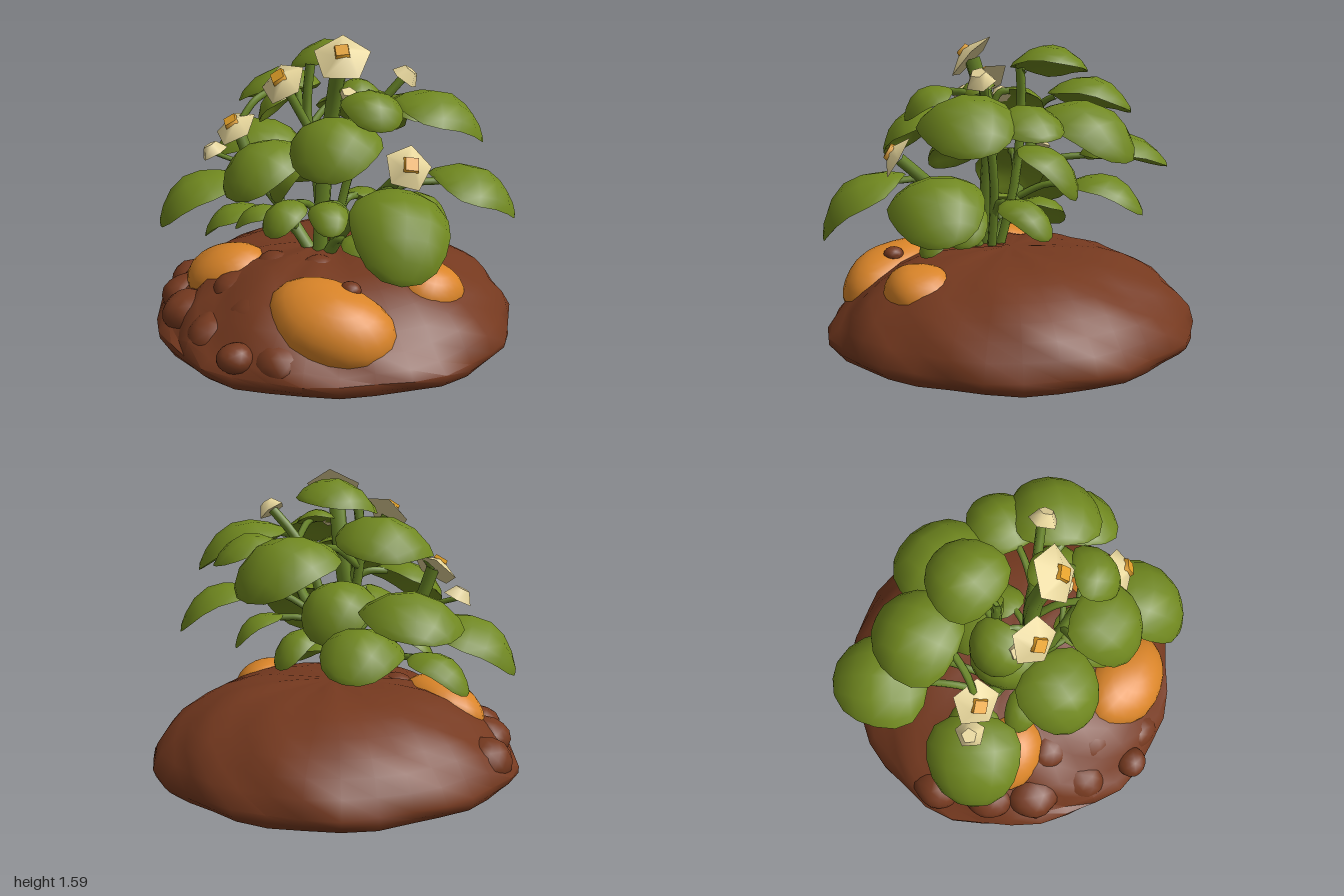
import * as THREE from 'three';
import { mergeVertices, toCreasedNormals } from 'three/addons/utils/BufferGeometryUtils.js';

const material = (name, color) => {
  const m = new THREE.MeshStandardMaterial({ color });
  m.name = name;
  return m;
};
const V = (x, y, z) => new THREE.Vector3(x, y, z);
const UP = V(0, 1, 0);

export function createModel() {
  const soil = material('soil brown', 0x75391f);
  const green = material('leaf green', 0x70881f);
  const stemGreen = material('stem green', 0x688526);
  const tuberSkin = material('tuber orange', 0xd98428);
  const cream = material('petal cream', 0xe8d79c);
  const yellow = material('flower centre yellow', 0xe3a028);

  const model = new THREE.Group();
  model.name = 'tuberPlant';
  const add = (name, geo, mat, parent = model) => {
    const mesh = new THREE.Mesh(geo, mat);
    mesh.name = name;
    parent.add(mesh);
    return mesh;
  };

  // Move every vertex by a rule, then rebuild the normals
  const reshape = (geo, rule, crease = 0.7) => {
    geo.deleteAttribute('normal');
    geo.deleteAttribute('uv');
    geo = mergeVertices(geo, 1e-4);
    const p = geo.attributes.position, v = V(0, 0, 0);
    for (let i = 0; i < p.count; i++) {
      rule(v.fromBufferAttribute(p, i));
      p.setXYZ(i, v.x, v.y, v.z);
    }
    return toCreasedNormals(geo, crease);
  };
  const tube = (name, points, radius, mat) =>
    add(name, new THREE.TubeGeometry(new THREE.CatmullRomCurve3(points), 8, radius, 6), mat);

  // Soil mound: an uneven lathe, fuller at the back, lower and rougher at the front
  const profile = [[0, 0], [0.6, 0], [0.955, 0], [0.985, 0.035], [0.99, 0.07], [0.95, 0.15],
    [0.89, 0.225], [0.82, 0.29], [0.72, 0.352], [0.61, 0.405], [0.5, 0.437], [0.35, 0.455],
    [0.2, 0.46], [0, 0.46]];
  const mound = new THREE.LatheGeometry(profile.map(([r, y]) => new THREE.Vector2(r, y)), 36);
  add('soilMound', reshape(mound, v => {
    const a = Math.atan2(v.x, v.z), front = Math.max(0, v.z);
    const wobble = Math.sin(5 * a + 1) + Math.sin(11 * a + v.y * 20);
    const k = 1 + 0.013 * wobble;
    if (v.y > 0.1) {
      v.y += 0.008 * wobble * (0.4 + front) + 0.018 * front * Math.sin(17 * a + v.y * 30)
        - 0.045 * THREE.MathUtils.smoothstep(v.z, 0, 0.4) * Math.sin(Math.PI * v.y / 0.48);
    }
    v.x *= k;
    v.z = v.z * k - 0.02;
  }, 0.9), soil);

  // Clods of soil, mostly sunk in the mound: x, y, z, radius
  const clods = [[0.14, 0.14, 0.91, 0.09], [-0.14, 0.12, 0.76, 0.16], [-0.42, 0.15, 0.67, 0.15],
    [-0.62, 0.16, 0.52, 0.14], [0.3, 0.1, 0.76, 0.14], [0.04, 0.22, 0.64, 0.16],
    [-0.2, 0.28, 0.54, 0.13], [-0.8, 0.13, 0.28, 0.15], [0.12, 0.4, 0.26, 0.09],
    [-0.12, 0.37, 0.33, 0.11], [0.46, 0.41, 0.43, 0.055]];
  clods.forEach(([x, y, z, r], i) => {
    const geo = reshape(new THREE.IcosahedronGeometry(r, 2), v => {
      v.multiplyScalar(1 + 0.07 * Math.sin(v.x * 24 + i) * Math.cos(v.z * 22 + i * 2));
      v.y = Math.max(v.y * 0.8, -y);
    });
    const clod = add('soilClod', geo, soil);
    clod.position.set(x, y, z);
    clod.rotation.y = i * 1.3;
  });

  // Tubers half buried in the mound: centre, radii, rotation
  const tubers = [
    [[0.42, 0.25, 0.53], [0.33, 0.19, 0.23], [0.35, 0.15, -0.34]],
    [[-0.4, 0.31, 0.42], [0.25, 0.15, 0.2], [0.3, 0.2, 0.2]],
    [[0.63, 0.32, -0.01], [0.17, 0.14, 0.2], [0, 0, -0.35]]];
  for (const [pos, radii, rot] of tubers) {
    const geo = reshape(new THREE.SphereGeometry(1, 20, 14), v => {
      v.multiplyScalar(1 + 0.03 * Math.sin(v.x * 4 + v.z * 3));
      v.set(v.x * radii[0], v.y * radii[1], v.z * radii[2]);
    });
    const tuber = add('tuber', geo, tuberSkin);
    tuber.position.set(...pos);
    tuber.rotation.set(...rot);
  }

  // Main stems
  const stems = [
    [V(0.03, 0.38, 0.14), V(0.04, 0.8, 0.12), V(0.06, 1.15, 0.08), V(0.15, 1.48, 0.12)],
    [V(0, 0.4, 0.14), V(-0.2, 0.65, 0.17), V(-0.37, 0.86, 0.22), V(-0.45, 1.09, 0.26)],
    [V(0.06, 0.4, 0.14), V(0.22, 0.63, 0.14), V(0.42, 0.82, 0.13), V(0.6, 0.98, 0.17)],
    [V(0.05, 0.95, 0.1), V(-0.03, 1.12, 0.16), V(-0.09, 1.34, 0.27)],
    [V(0.05, 0.4, 0.08), V(0.1, 0.8, 0.0), V(0.2, 1.15, -0.06), V(0.34, 1.38, -0.18)],
    [V(0, 0.4, 0.08), V(-0.08, 0.8, 0.03), V(-0.14, 1.2, 0.04), V(-0.12, 1.43, 0.03)]];
  const stemRadii = [0.045, 0.034, 0.032, 0.024, 0.026, 0.026];
  stems.forEach((s, i) => tube('mainStem', s, stemRadii[i], stemGreen));
  const nodes = stems.flatMap(s => new THREE.CatmullRomCurve3(s).getPoints(16));

  // A plump, arching leaf from base to tip, with a stalk from the nearest lower stem node
  const leaf = ([bx, by, bz, tx, ty, tz, width]) => {
    const base = V(bx, by, bz), along = V(tx, ty, tz).sub(base), length = along.length();
    const dir = along.clone().normalize();
    const up = V(bx + tx, 0, bz + tz).normalize().multiplyScalar(0.3).add(UP);
    const side = dir.clone().cross(up).normalize(), top = side.clone().cross(dir);
    const geo = reshape(new THREE.SphereGeometry(1, 12, 8), v => {
      const t = (v.y + 1) / 2, w = v.x * (1.1 - 0.2 * v.y + 0.2 * v.y * v.y);
      const lift = length * 0.2 * Math.sin(Math.PI * t) - 0.16 * width * w * w
        + v.z * width * (v.z > 0 ? 0.13 : 0.04);
      v.copy(base).addScaledVector(along, t)
        .addScaledVector(side, w * width / 2).addScaledVector(top, lift);
    }, 0.9);
    add('leaf', geo, green);

    let start = nodes[0], best = Infinity;
    for (const n of nodes) {
      const d = n.distanceTo(base);
      if (n.y < by - 0.1 && d < best) { best = d; start = n; }
    }
    const mid = start.clone().lerp(base, 0.55).addScaledVector(UP, 0.03);
    tube('leafStalk', [start, mid, base.clone().addScaledVector(along, 0.06)], 0.02, stemGreen);
  };

  // Leaves: base xyz, tip xyz, width
  const backLeaves = [
    [-0.55, 0.92, -0.02, -0.92, 0.85, -0.38, 0.45], [-0.4, 1.27, 0.06, -0.58, 1.19, -0.37, 0.43],
    [-0.11, 1.22, -0.23, -0.14, 0.97, -0.7, 0.47], [-0.13, 1.42, 0.03, -0.19, 1.43, -0.36, 0.37],
    [0.22, 1.18, -0.2, 0.28, 1.1, -0.59, 0.34], [0.38, 1.25, -0.04, 0.62, 1.04, -0.48, 0.43],
    [0.6, 0.89, -0.08, 0.82, 0.66, -0.49, 0.41], [-0.1, 1.0, 0, -0.22, 0.72, -0.3, 0.34],
    [-0.4, 0.78, -0.1, -0.57, 0.62, -0.48, 0.36]];
  const frontLeaves = [
    [-0.47, 0.81, 0.24, -0.76, 0.54, 0.57, 0.45], [-0.07, 1.05, 0.28, -0.08, 0.81, 0.66, 0.39],
    [0.27, 1.19, 0.2, 0.36, 0.95, 0.56, 0.4], [0.56, 0.88, 0.19, 0.82, 0.54, 0.53, 0.43],
    [0.3, 1.32, 0.1, 0.5, 1.16, 0.25, 0.28], [-0.12, 0.98, 0.1, -0.22, 0.69, 0.22, 0.36]];
  const smallLeaves = [
    [-0.36, 0.62, 0.2, -0.67, 0.44, 0.3, 0.27], [-0.12, 0.68, 0.3, -0.34, 0.57, 0.4, 0.17],
    [0.04, 0.77, 0.34, 0.05, 0.62, 0.55, 0.2], [0.2, 0.78, 0.3, 0.36, 0.66, 0.45, 0.18],
    [0.22, 0.56, 0.18, 0.49, 0.45, 0.1, 0.2], [-0.12, 1.31, 0.13, -0.34, 1.12, 0.17, 0.27],
    [0.42, 0.76, -0.05, 0.54, 0.58, -0.3, 0.25], [0.1, 0.73, -0.08, 0.05, 0.55, -0.36, 0.22],
    [0.12, 1.32, 0.1, 0.27, 1.3, -0.06, 0.17]];
  [...backLeaves, ...frontLeaves, ...smallLeaves].forEach(leaf);

  // Five-sided flowers with petals swept back; the closed ones have no centre
  const flower = (name, pos, normal, radius, depth, open) => {
    const group = new THREE.Group();
    group.name = name;
    add('petals', new THREE.CylinderGeometry(0.04, radius, depth, 5), cream, group);
    if (open) {
      add('flowerCentre', new THREE.CylinderGeometry(0.046, 0.052, 0.022, 4), yellow, group)
        .position.y = depth / 2 + 0.005;
    }
    group.position.set(...pos);
    group.quaternion.setFromUnitVectors(UP, V(...normal).normalize());
    model.add(group);
  };
  flower('topFlower', [0.17, 1.5, 0.13], [0.42, 0.65, 0.56], 0.152, 0.055, true);
  flower('frontFlower', [-0.1, 1.37, 0.29], [0.02, 0.62, 0.75], 0.13, 0.05, true);
  flower('rightFlower', [-0.46, 1.1, 0.28], [-0.05, 0.75, 0.65], 0.127, 0.05, true);
  flower('leftFlower', [0.62, 1.0, 0.18], [0.7, 0.5, 0.5], 0.122, 0.05, true);
  flower('backBud', [0.36, 1.39, -0.18], [0.5, 0.75, -0.25], 0.08, 0.06, false);
  flower('rightBud', [-0.57, 0.96, 0.34], [-0.3, 0.85, 0.3], 0.08, 0.06, false);
  flower('frontBud', [-0.17, 1.28, 0.24], [-0.3, 0.75, 0.5], 0.06, 0.05, false);
  flower('smallBud', [0.22, 1.31, 0.14], [0.4, 0.8, 0.3], 0.045, 0.03, false);
  tube('budStalk', [V(-0.38, 0.87, 0.22), V(-0.48, 0.91, 0.29), V(-0.57, 0.94, 0.33)], 0.014, stemGreen);

  return model;
}
